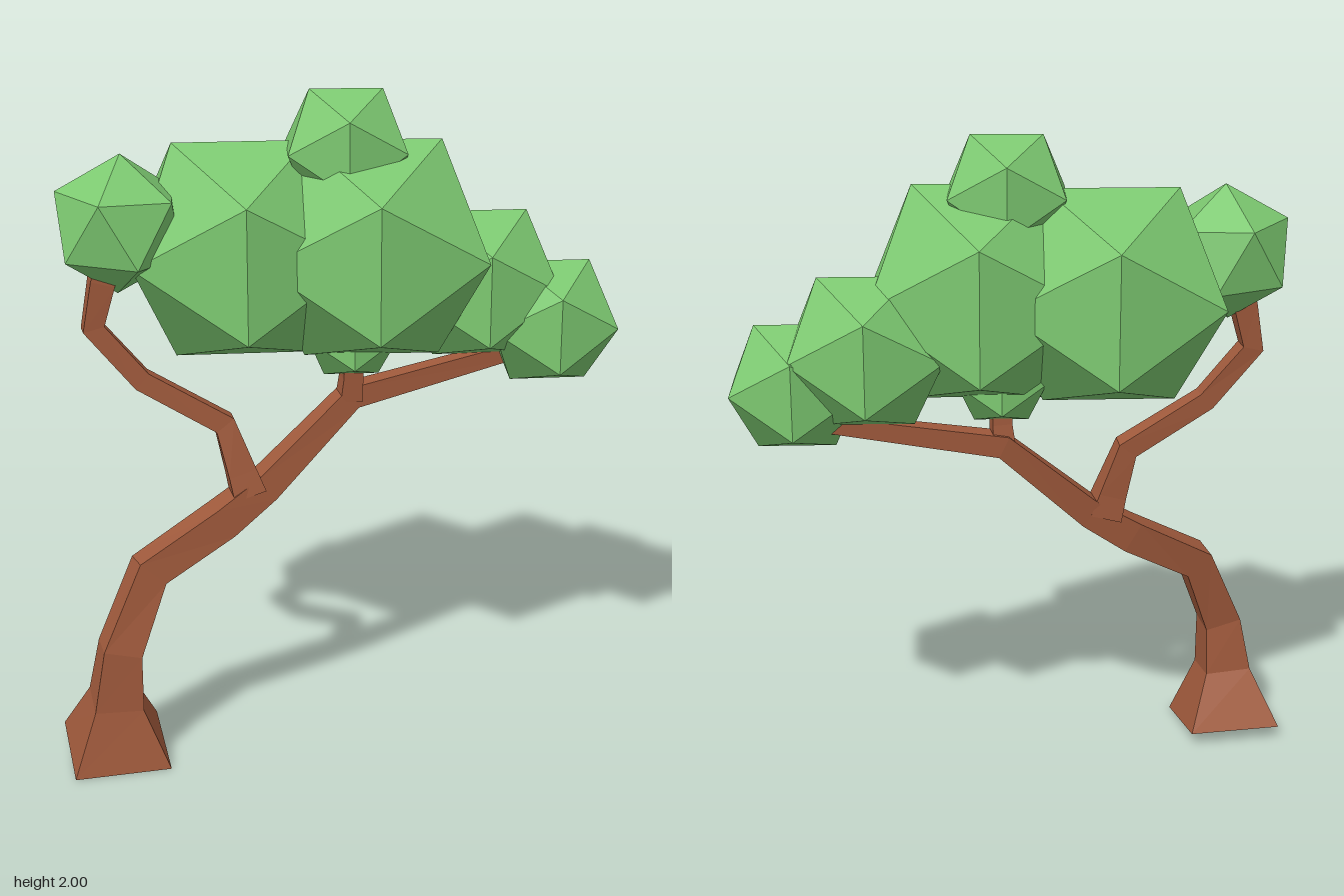
import * as THREE from 'three';

const bark = new THREE.MeshStandardMaterial({ color: 0xa05a3c, flatShading: true });
const leaf = new THREE.MeshStandardMaterial({ color: 0x7cc870, flatShading: true });

// Square-section limb through stations [x, y, z, halfWidth]
function limb(name, stations, startDir) {
  const p = stations.map(s => new THREE.Vector3(s[0], s[1], s[2]));
  const last = p.length - 1;
  const rings = stations.map((s, i) => {
    const t = new THREE.Vector3();
    if (i === 0 && startDir) t.set(...startDir);
    else {
      if (i > 0) t.add(p[i].clone().sub(p[i - 1]).normalize());
      if (i < last) t.add(p[i + 1].clone().sub(p[i]).normalize());
    }
    t.normalize();
    const u = new THREE.Vector3(0, 0, 1);
    u.addScaledVector(t, -u.dot(t)).normalize();
    const v = t.clone().cross(u);
    return [[-1, -1], [1, -1], [1, 1], [-1, 1]].map(([a, b]) =>
      p[i].clone().addScaledVector(u, a * s[3]).addScaledVector(v, b * s[3]));
  });
  const tris = [];
  const quad = (a, b, c, d) => tris.push(a, b, c, a, c, d);
  for (let i = 0; i < last; i++) {
    for (let k = 0; k < 4; k++) {
      const n = (k + 1) % 4;
      quad(rings[i][k], rings[i][n], rings[i + 1][n], rings[i + 1][k]);
    }
  }
  quad(...rings[0].slice().reverse());
  quad(...rings[last]);
  const geometry = new THREE.BufferGeometry().setFromPoints(tris);
  geometry.computeVertexNormals();
  const mesh = new THREE.Mesh(geometry, bark);
  mesh.name = name;
  return mesh;
}

// Faceted foliage clump, turned by yaw and roll in degrees
function clump(name, x, y, z, radius, yaw, roll = 0) {
  const mesh = new THREE.Mesh(new THREE.IcosahedronGeometry(radius, 0), leaf);
  mesh.name = name;
  mesh.position.set(x, y, z);
  mesh.rotation.set(0, THREE.MathUtils.degToRad(yaw), THREE.MathUtils.degToRad(roll));
  return mesh;
}

export function createModel() {
  const tree = new THREE.Group();
  tree.name = 'tree';

  // Leaning trunk running into the right-hand branch
  tree.add(limb('trunk', [
    [-0.712, 0.023, 0.112, 0.145],
    [-0.712, 0.2, 0.145, 0.073],
    [-0.695, 0.37, 0.15, 0.058],
    [-0.595, 0.6, 0.11, 0.051],
    [-0.365, 0.725, 0.07, 0.05],
    [-0.23, 0.815, 0.05, 0.044],
    [0.05, 1.065, 0.005, 0.035],
    [0.58, 1.17, -0.01, 0.025],
  ], [0, 0.99, 0.15]));

  // Side branch that bends out to the small clump
  tree.add(limb('sideBranch', [
    [-0.28, 0.8, 0.055, 0.05],
    [-0.3, 0.87, 0.05, 0.043],
    [-0.345, 1.02, 0.035, 0.033],
    [-0.585, 1.17, 0.015, 0.03],
    [-0.72, 1.335, 0, 0.032],
    [-0.69, 1.47, 0, 0.036],
    [-0.65, 1.58, -0.005, 0.034],
  ]));

  // Short twig under the crown
  tree.add(limb('twig', [
    [0.045, 1.06, 0.01, 0.034],
    [0.05, 1.13, 0.015, 0.03],
    [0.05, 1.25, 0.02, 0.028],
  ]));

  // Crown
  const crown = new THREE.Group();
  crown.name = 'crown';
  crown.add(
    clump('sideClump', -0.632, 1.635, -0.008, 0.205, -8, 29),
    clump('largeBackClump', -0.268, 1.527, -0.048, 0.378, -8),
    clump('largeFrontClump', 0.105, 1.53, 0.043, 0.382, -10),
    clump('topClump', 0.03, 1.83, 0.022, 0.202, -10),
    clump('rightClump', 0.456, 1.385, -0.02, 0.264, -8),
    clump('endClump', 0.662, 1.272, 0.046, 0.22, -8),
    clump('lowerClump', 0.048, 1.272, 0.02, 0.156, -9),
  );
  tree.add(crown);
  return tree;
}
